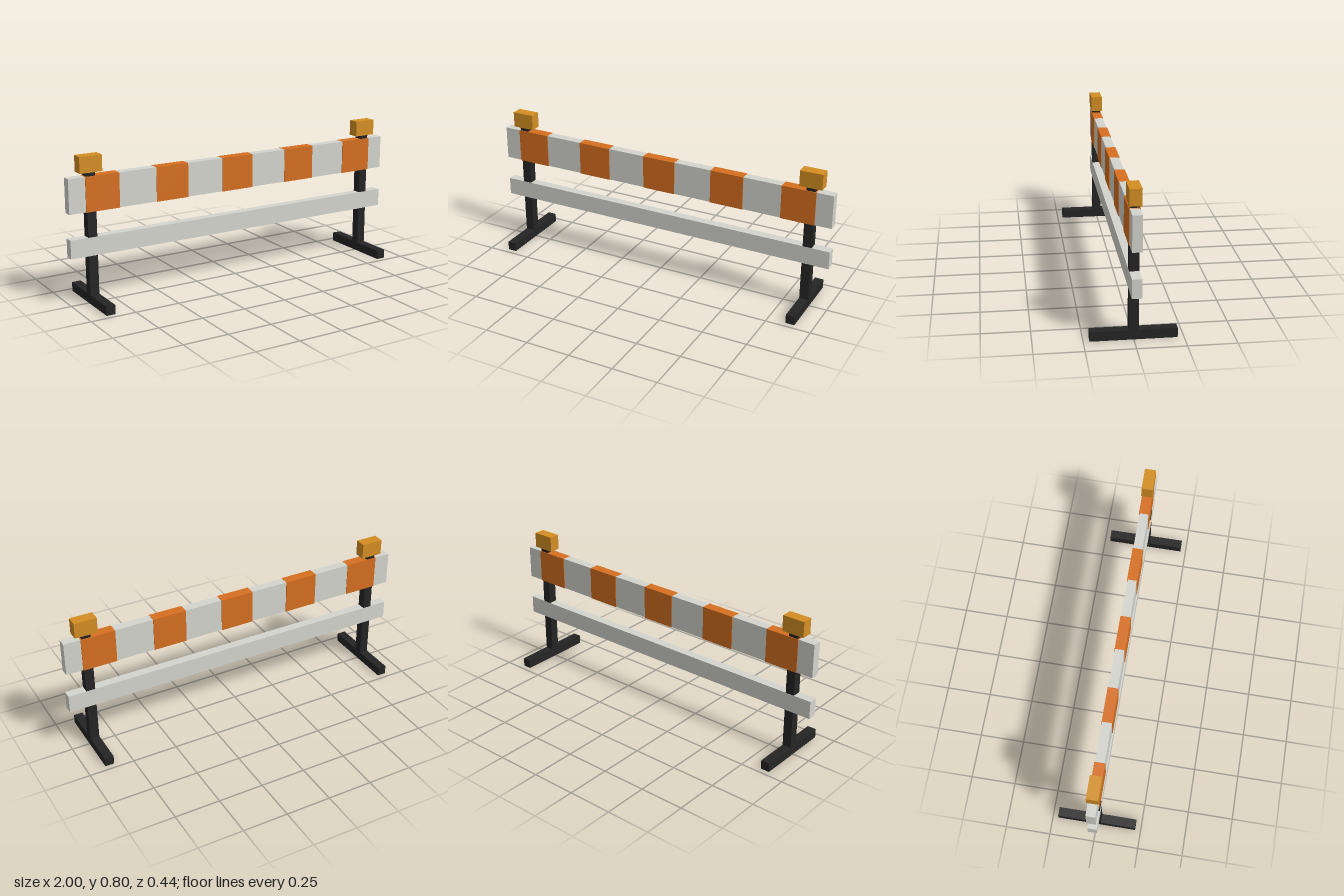
import * as THREE from 'three';

export function createModel() {
  const group = new THREE.Group();
  const material = (name, color) => {
    const m = new THREE.MeshStandardMaterial({ color });
    m.name = name;
    return m;
  };
  const white = material('boardWhite', 0xd4d4ce);
  const orange = material('stripeOrange', 0xd66f20);
  const amber = material('lampAmber', 0xd48e23);
  const black = material('frameBlack', 0x242424);

  // Box centred on x and z = 0, spanning y0 to y1
  const box = (name, mat, x, y0, y1, width, depth) => {
    const mesh = new THREE.Mesh(new THREE.BoxGeometry(width, y1 - y0, depth), mat);
    mesh.name = name;
    mesh.position.set(x, (y0 + y1) / 2, 0);
    group.add(mesh);
  };

  // Horizontal boards
  box('upperBoard', white, 0, 0.501, 0.687, 2, 0.05);
  box('lowerRail', white, 0, 0.264, 0.364, 2, 0.05);

  // Orange bands wrapped around the upper board
  for (let i = -2; i <= 2; i++) {
    box('stripe', orange, i * 0.406, 0.5, 0.688, 0.19, 0.057);
  }

  // Foot, post and warning lamp at each end
  for (const [side, x] of [['right', -0.875], ['left', 0.875]]) {
    box(side + 'Foot', black, x, 0, 0.05, 0.05, 0.4375);
    box(side + 'Post', black, x, 0.05, 0.708, 0.05, 0.049);
    box(side + 'Lamp', amber, x, 0.708, 0.795, 0.125, 0.0625);
  }
  return group;
}
